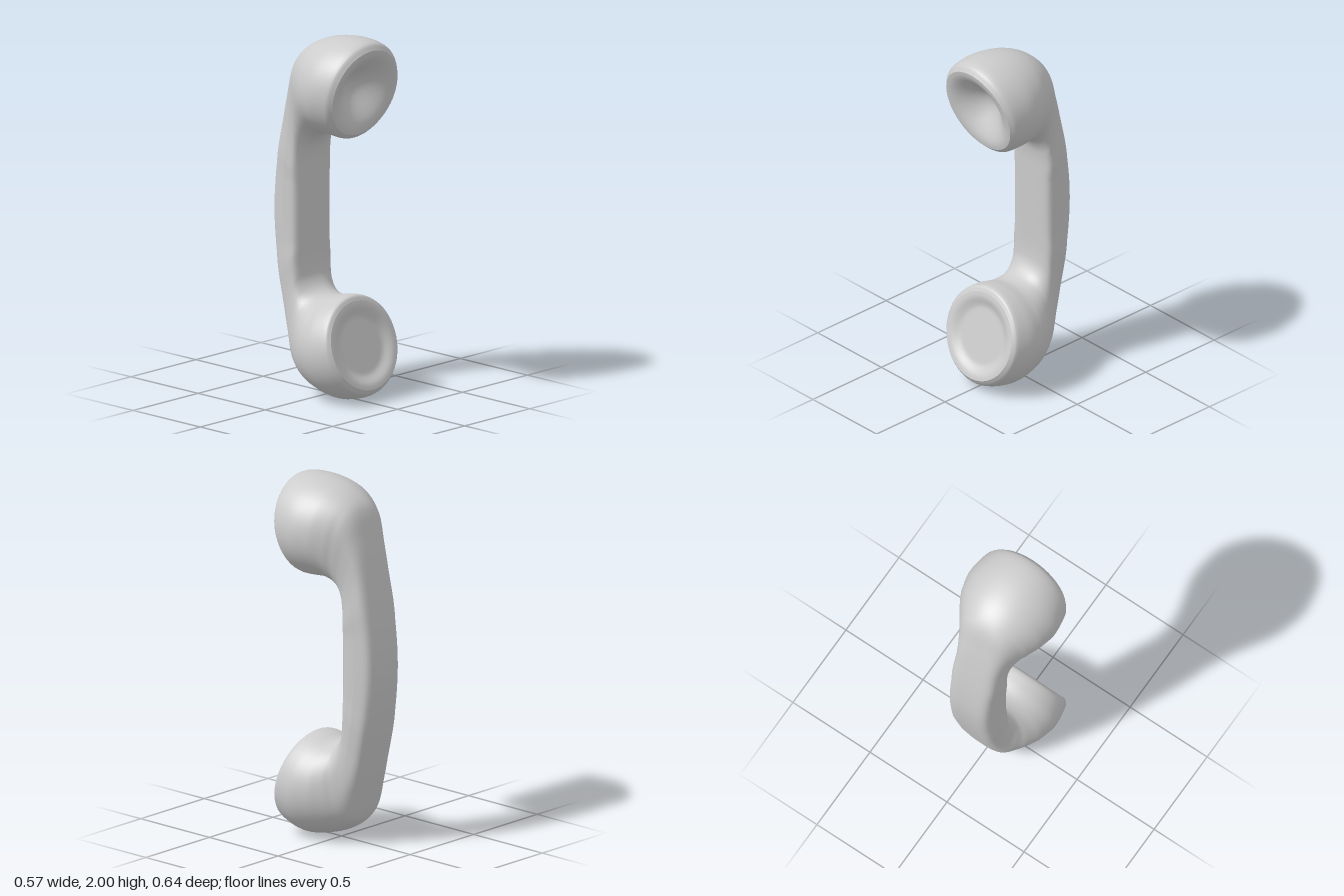
import * as THREE from 'three';

const SEGMENTS = 56;

// Cross-sections from earpiece rim to mouthpiece rim:
// [outer z, outer y, inner z, inner y, half width, squareness]
const SECTIONS = [
  [0.31, 1.95, 0.205, 1.47, 0.245, 2],
  [0.285, 1.985, 0.175, 1.447, 0.268, 2],
  [0.16, 2.0, 0.1, 1.45, 0.284, 2],
  [0.0, 1.975, 0.02, 1.455, 0.26, 2.05],
  [-0.1, 1.925, -0.04, 1.435, 0.215, 2.2],
  [-0.155, 1.865, -0.08, 1.405, 0.18, 2.6],
  [-0.2, 1.72, -0.107, 1.36, 0.155, 3.5],
  [-0.242, 1.55, -0.118, 1.3, 0.146, 5],
  [-0.298, 1.25, -0.12, 1.18, 0.144, 6],
  [-0.318, 1.0, -0.12, 1.0, 0.143, 6],
  [-0.298, 0.75, -0.12, 0.82, 0.144, 6],
  [-0.242, 0.45, -0.116, 0.69, 0.146, 5],
  [-0.2, 0.28, -0.105, 0.63, 0.155, 3.5],
  [-0.155, 0.135, -0.075, 0.585, 0.18, 2.6],
  [-0.1, 0.08, -0.035, 0.56, 0.215, 2.2],
  [0.0, 0.035, 0.02, 0.55, 0.26, 2.05],
  [0.16, 0.004, 0.1, 0.567, 0.284, 2],
  [0.295, 0.045, 0.165, 0.57, 0.268, 2],
  [0.32, 0.08, 0.182, 0.545, 0.245, 2],
];

// One closed ring spanning the outer and inner points of a section
function ring([oz, oy, iz, iy, width, n], scale = 1, depth = 0) {
  const dz = (oz - iz) / 2, dy = (oy - iy) / 2, len = Math.hypot(dz, dy);
  const cz = (oz + iz) / 2 - (Math.abs(dy) / len) * depth;
  const cy = (oy + iy) / 2 + (dz * Math.sign(dy) / len) * depth;
  const taper = 0.14 * Math.min(1, Math.max(0, (n - 2) / 3));
  const points = [];
  for (let j = 0; j < SEGMENTS; j++) {
    const a = (j / SEGMENTS) * Math.PI * 2, c = Math.cos(a), s = Math.sin(a);
    const r = scale * (Math.abs(c) ** n + Math.abs(s) ** n) ** (-1 / n);
    const u = r * c;
    points.push(r * s * width * (1 - taper * Math.max(0, u)), cy + u * dy, cz + u * dz);
  }
  return points;
}

// Skin a list of rings
function loft(name, rings, material) {
  const index = [];
  for (let i = 0; i < rings.length - 1; i++) {
    for (let j = 0; j < SEGMENTS; j++) {
      const k = (j + 1) % SEGMENTS;
      const a = i * SEGMENTS + j, b = i * SEGMENTS + k;
      index.push(a, b, a + SEGMENTS, b, b + SEGMENTS, a + SEGMENTS);
    }
  }
  const geometry = new THREE.BufferGeometry();
  geometry.setAttribute('position', new THREE.Float32BufferAttribute(rings.flat(), 3));
  geometry.setIndex(index);
  geometry.computeVertexNormals();
  const mesh = new THREE.Mesh(geometry, material);
  mesh.name = name;
  return mesh;
}

// Hollow face inside a rim, ordered from the rim to the centre
function dishRings(section, depth, start, end) {
  const rings = [];
  for (let i = 0; i <= 20; i++) {
    const s = 1 - i / 20;
    rings.push(ring(section, s, depth * THREE.MathUtils.smoothstep(1 - s, start, end)));
  }
  return rings;
}

export function createModel() {
  const group = new THREE.Group();
  group.name = 'telephoneHandset';
  const material = new THREE.MeshStandardMaterial({ color: 0xcccccc });

  // Smooth curves through the section values
  const curve = (pick) => new THREE.CatmullRomCurve3(SECTIONS.map((s) => new THREE.Vector3(...pick(s))));
  const outer = curve((s) => [0, s[1], s[0]]);
  const inner = curve((s) => [0, s[3], s[2]]);
  const shape = curve((s) => [s[4], s[5], 0]);

  // Grip and both cups in one continuous skin
  const steps = (SECTIONS.length - 1) * 5;
  const body = [];
  for (let i = 0; i <= steps; i++) {
    const t = i / steps;
    const o = outer.getPoint(t), n = inner.getPoint(t), w = shape.getPoint(t);
    body.push(ring([o.z, o.y, n.z, n.y, w.x, w.y]));
  }
  group.add(loft('handleAndCups', body, material));

  // Deep earpiece bowl and shallow mouthpiece face
  const earpiece = dishRings(SECTIONS[0], 0.11, 0.06, 0.95).reverse();
  const mouthpiece = dishRings(SECTIONS[SECTIONS.length - 1], 0.025, 0.08, 0.38);
  group.add(loft('earpieceDish', earpiece, material));
  group.add(loft('mouthpieceDish', mouthpiece, material));
  return group;
}
